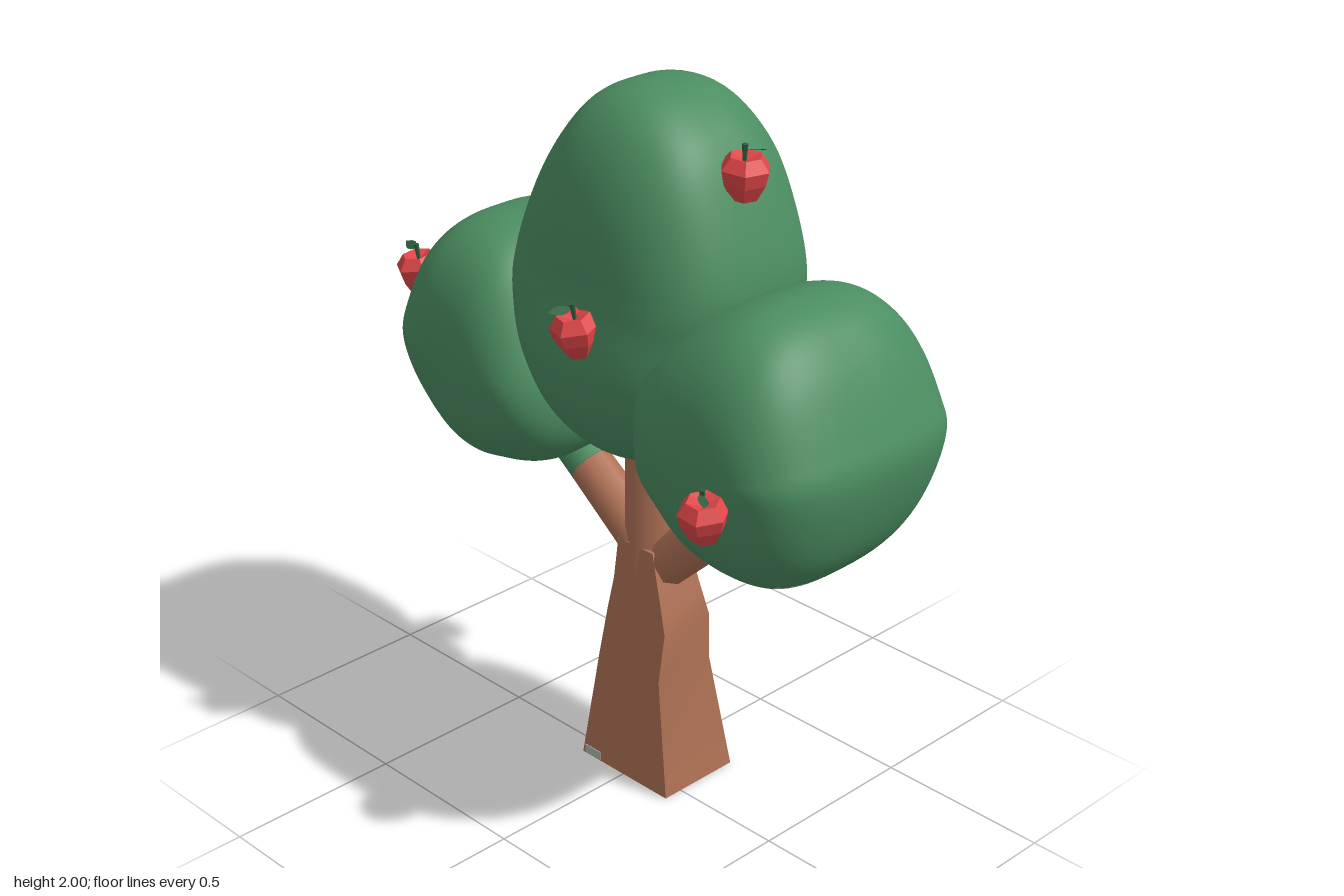
import * as THREE from 'three';
import { toCreasedNormals } from 'three/addons/utils/BufferGeometryUtils.js';

const mat = (name, color, extra = {}) =>
  Object.assign(new THREE.MeshStandardMaterial({ color, ...extra }), { name });

export function createModel() {
  const tree = new THREE.Group();
  tree.name = 'appleTree';
  const leafGreen = mat('leaf green', 0x4b8d61);
  const bark = mat('bark brown', 0xb07256);
  const pale = mat('pale grey', 0xa9b9b0);
  const red = mat('apple red', 0xe04648, { flatShading: true });
  const dark = mat('stem green', 0x2c5f3e, { flatShading: true, side: THREE.DoubleSide });

  const add = (name, geometry, material, parent = tree) => {
    const mesh = new THREE.Mesh(geometry, material);
    mesh.name = name;
    parent.add(mesh);
    return mesh;
  };

  // Trunk: four-sided sections [y, left, right, front, back]
  const sections = [
    [0.002, -0.16, 0.17, 0.06, -0.195], [0.35, -0.1, 0.13, 0.05, -0.145],
    [0.5, -0.072, 0.147, 0.045, -0.125], [0.6, -0.052, 0.122, 0.04, -0.11],
    [0.72, -0.045, 0.085, 0.03, -0.1],
  ];
  const tv = [], ti = [];
  for (const [y, l, r, f, b] of sections) tv.push(l, y, f, r, y, f, r, y, b, l, y, b);
  for (let s = 0; s < sections.length - 1; s++) {
    for (let k = 0; k < 4; k++) {
      const a = s * 4 + k, b = s * 4 + (k + 1) % 4;
      ti.push(a, b, b + 4, a, b + 4, a + 4);
    }
  }
  const top = (sections.length - 1) * 4;
  ti.push(0, 2, 1, 0, 3, 2, top, top + 1, top + 2, top, top + 2, top + 3);
  const trunk = new THREE.BufferGeometry();
  trunk.setAttribute('position', new THREE.Float32BufferAttribute(tv, 3));
  trunk.setIndex(ti);
  add('trunk', toCreasedNormals(trunk, 0.7), bark);

  // Pale flecks at the foot of the trunk
  add('footPatch', new THREE.BoxGeometry(0.06, 0.004, 0.12), pale).position.set(-0.115, 0.002, -0.05);
  add('frontFootPatch', new THREE.BoxGeometry(0.06, 0.026, 0.004), pale).position.set(-0.12, 0.017, 0.0595);

  // Branches: tapered cylinders between two points, or a slice of one
  const branch = (name, from, to, r0, r1, material, slice = []) => {
    const a = new THREE.Vector3(...from, -0.035), b = new THREE.Vector3(...to, -0.035);
    const dir = b.clone().sub(a);
    const mesh = add(name,
      new THREE.CylinderGeometry(r1, r0, dir.length(), 8, 1, slice.length > 0, ...slice), material);
    mesh.position.copy(a).add(b).multiplyScalar(0.5);
    mesh.quaternion.setFromUnitVectors(new THREE.Vector3(0, 1, 0), dir.normalize());
  };
  branch('middleBranch', [0.02, 0.6], [0.015, 1.1], 0.075, 0.07, bark);
  branch('middleBranchPatch', [0.016, 0.95], [0.015, 1.04], 0.075, 0.074, pale, [3.3, 0.7]);
  branch('rightBranch', [0.01, 0.69], [-0.22, 0.855], 0.068, 0.062, bark);
  branch('rightBranchTip', [-0.22, 0.855], [-0.32, 0.925], 0.062, 0.06, leafGreen);
  branch('rightBranchPatch', [-0.07, 0.747], [-0.25, 0.876], 0.07, 0.066, pale, [-2.4, 1.7]);
  branch('leftBranch', [0.05, 0.65], [0.38, 0.95], 0.07, 0.064, bark);
  branch('leftBranchPatch', [0.15, 0.741], [0.27, 0.85], 0.071, 0.069, pale, [1.8, 0.5]);

  // Foliage: a closed front outline swept through a rounded depth profile,
  // boxier across (powX) than in height (powY).
  // paint(x, y, z) returns the material slot: 0 green, 1 bark, 2 pale.
  const foliage = (name, outline, zMid, depthAt, powX, powY, paint) => {
    const U = 104, V = 56;
    const curve = new THREE.CatmullRomCurve3(
      outline.map(([x, y]) => new THREE.Vector3(x, y, 0)).reverse(), true);
    const ring = curve.getSpacedPoints(U).slice(0, U);
    const mid = new THREE.Box3().setFromPoints(ring).getCenter(new THREE.Vector3());
    const pos = [], slots = [[], [], []];
    for (let v = 0; v <= V; v++) {
      const phi = (v / V - 0.5) * Math.PI;
      const s = Math.sin(phi), c = Math.max(Math.cos(phi), 0);
      const z = Math.sign(s) * Math.pow(Math.abs(s), 0.7);
      const sx = Math.pow(c, powX), sy = Math.pow(c, powY);
      for (const p of ring) {
        const y = mid.y + (p.y - mid.y) * sy;
        pos.push(mid.x + (p.x - mid.x) * sx, y, zMid + z * depthAt(y));
      }
    }
    const tri = (a, b, c) => {
      const m = [0, 1, 2].map(i => (pos[a * 3 + i] + pos[b * 3 + i] + pos[c * 3 + i]) / 3);
      slots[paint(...m)].push(a, b, c);
    };
    for (let v = 0; v < V; v++) {
      for (let u = 0; u < U; u++) {
        const a = v * U + u, b = v * U + (u + 1) % U;
        if (v > 0) tri(a, b, b + U);
        if (v < V - 1) tri(a, b + U, a + U);
      }
    }
    const g = new THREE.BufferGeometry();
    g.setAttribute('position', new THREE.Float32BufferAttribute(pos, 3));
    g.setIndex(slots.flat());
    let start = 0;
    slots.forEach((list, i) => {
      if (list.length) g.addGroup(start, list.length, i);
      start += list.length;
    });
    g.computeVertexNormals();
    add(name, g, [leafGreen, bark, pale]);
  };
  // Distance from the middle of an oval patch, 1 at its rim
  const oval = (a, a0, ra, b, b0, rb) => Math.hypot((a - a0) / ra, (b - b0) / rb);

  foliage('middleFoliage', [
    [0.03, 2], [0.13, 1.985], [0.25, 1.9], [0.33, 1.76], [0.395, 1.53], [0.37, 1.4],
    [0.3, 1.2], [0.2, 1.05], [0.02, 1], [-0.14, 1.05], [-0.25, 1.2], [-0.315, 1.36],
    [-0.335, 1.49], [-0.25, 1.74], [-0.15, 1.9], [-0.07, 1.975],
  ], -0.045, y => 0.35 - 0.05 * THREE.MathUtils.smoothstep(y, 1.25, 1.55), 0.7, 0.92,
  (x, y, z) => {
    if (y < 1.07 && oval(x, 0.04, 0.1, z, -0.03, 0.2) < 1) return 1;
    if (y > 1.5 && (oval(x, -0.29, 0.024, z, -0.055, 0.14) < 1 ||
      oval(x, -0.18, 0.012, z, -0.04, 0.09) < 1 ||
      oval(x, -0.12, 0.028, z, -0.04, 0.1) < 1)) return 2;
    return 0;
  });
  foliage('rightFoliage', [
    [-0.46, 1.535], [-0.38, 1.525], [-0.31, 1.48], [-0.22, 1.33], [-0.15, 1.11], [-0.17, 0.98],
    [-0.25, 0.89], [-0.38, 0.85], [-0.46, 0.84], [-0.54, 0.87], [-0.68, 1.03],
    [-0.735, 1.2], [-0.7, 1.33], [-0.64, 1.45], [-0.56, 1.515],
  ], -0.035, () => 0.315, 0.5, 0.88, () => 0);
  foliage('leftFoliage', [
    [0.52, 1.57], [0.62, 1.54], [0.7, 1.46], [0.78, 1.3], [0.808, 1.21], [0.77, 1.03],
    [0.71, 0.92], [0.63, 0.855], [0.5, 0.84], [0.38, 0.87], [0.29, 0.95], [0.21, 1.05],
    [0.19, 1.2], [0.2, 1.35], [0.27, 1.45], [0.4, 1.54],
  ], -0.04, () => 0.36, 0.5, 0.92, (x, y, z) => {
    if (Math.abs(z + 0.035) < 0.25 && oval(x, 0.325, 0.085, y, 0.915, 0.075) < 1) return 1;
    if (y < 1 && oval(x, 0.64, 0.035, z, -0.02, 0.18) < 1) return 2;
    return 0;
  });

  // Apples: faceted fruit with a stem and a leaf
  const fruit = new THREE.LatheGeometry([
    [0, -0.05], [0.036, -0.058], [0.058, -0.015], [0.066, 0.022], [0.042, 0.052], [0, 0.036],
  ].map(p => new THREE.Vector2(...p)), 6);
  const stem = new THREE.CylinderGeometry(0.008, 0.005, 0.05, 5);
  const leafShape = new THREE.Shape();
  leafShape.moveTo(0, 0);
  leafShape.quadraticCurveTo(0.025, 0.03, 0.06, 0);
  leafShape.quadraticCurveTo(0.025, -0.03, 0, 0);
  const leaf = new THREE.ShapeGeometry(leafShape, 4);
  [
    [-0.75, 1.3, 0.1], [0.07, 1.43, 0.28], [0.58, 1.135, 0.35], [0.33, 1.825, -0.035],
    [-0.26, 1.625, -0.315], [0.23, 1.36, -0.335], [-0.06, 1.12, -0.36],
  ].forEach((p, i) => {
    const apple = new THREE.Group();
    apple.name = 'apple' + (i + 1);
    add('fruit', fruit, red, apple);
    add('stem', stem, dark, apple).position.set(0.003, 0.056, 0);
    const l = add('leaf', leaf, dark, apple);
    l.position.set(0, 0.068, 0);
    l.rotation.set(-1.1, 0, 2.9);
    apple.position.set(...p);
    apple.rotation.set(0.1, i * 1.3, 0.1);
    tree.add(apple);
  });

  return tree;
}
